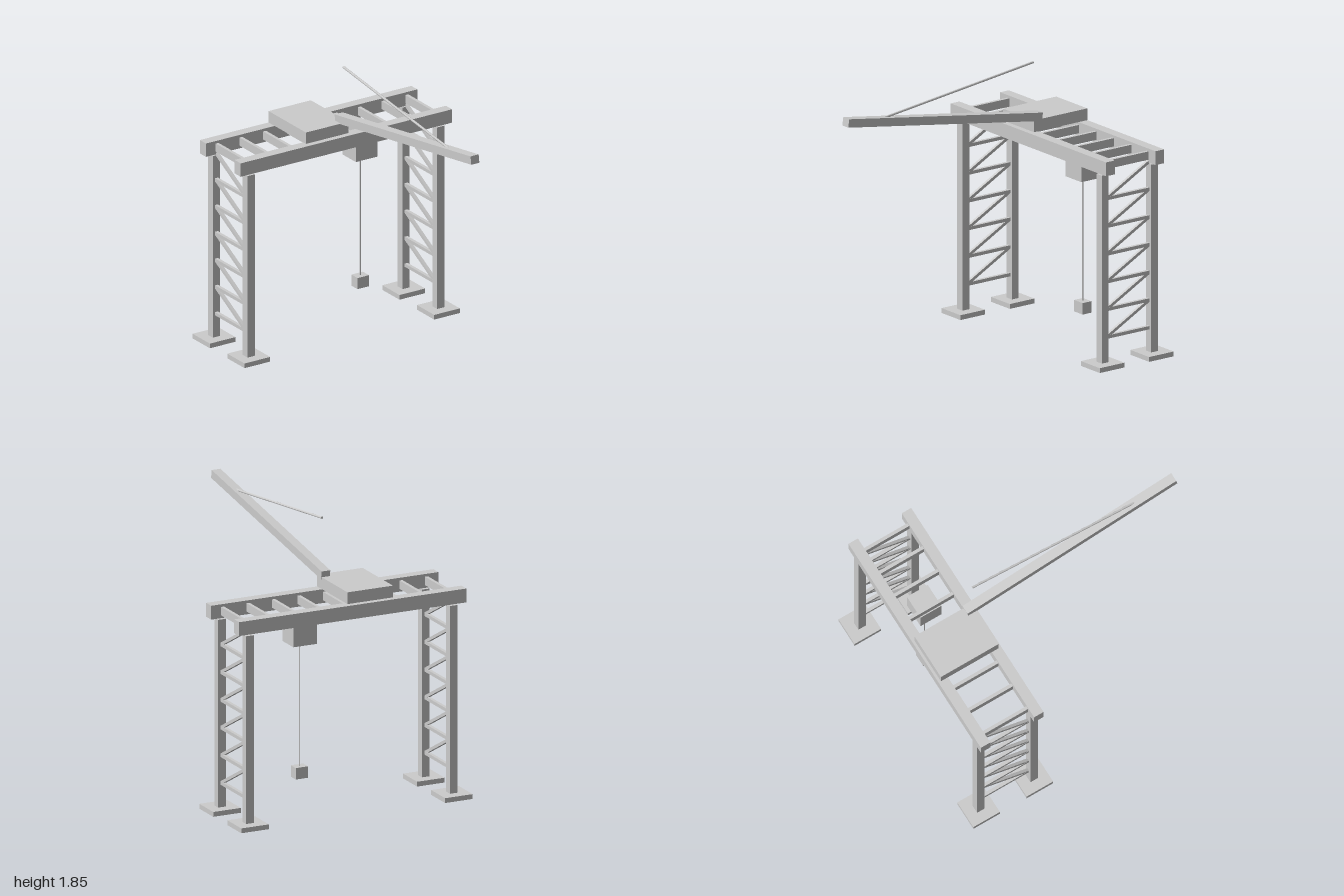
import * as THREE from 'three';

export function createModel() {
  const crane = new THREE.Group();
  crane.name = 'gantryCrane';
  const mat = new THREE.MeshStandardMaterial({ color: 0xcccccc, flatShading: true });

  const add = (name, geo, x, y, z, parent = crane) => {
    const mesh = new THREE.Mesh(geo, mat);
    mesh.name = name;
    mesh.position.set(x, y, z);
    parent.add(mesh);
    return mesh;
  };
  const box = (name, w, h, d, x, y, z, parent) =>
    add(name, new THREE.BoxGeometry(w, h, d), x, y, z, parent);

  // Straight member in the yz plane between two [y, z] points
  const strut = (name, t, x, [y0, z0], [y1, z1], parent) => {
    const m = box(name, t, t, Math.hypot(y1 - y0, z1 - z0), x, (y0 + y1) / 2, (z0 + z1) / 2, parent);
    m.rotation.x = -Math.atan2(y1 - y0, z1 - z0);
    return m;
  };

  // Round rod between two points
  const rod = (name, r, a, b) => {
    const dir = b.clone().sub(a);
    const mid = a.clone().add(b).multiplyScalar(0.5);
    const m = add(name, new THREE.CylinderGeometry(r, r, dir.length(), 8), mid.x, mid.y, mid.z);
    m.quaternion.setFromUnitVectors(new THREE.Vector3(0, 1, 0), dir.normalize());
  };

  const zFront = -0.504, zBack = -0.9, zMid = (zFront + zBack) / 2;

  // Two braced towers
  for (const side of [-1, 1]) {
    const tower = new THREE.Group();
    tower.name = side > 0 ? 'leftTower' : 'rightTower';
    crane.add(tower);
    const x = side * 0.724;
    for (const z of [zFront, zBack]) {
      box('foot', 0.196, 0.032, 0.197, x, 0.016, z, tower);
      box('leg', 0.055, 1.248, 0.055, x, 0.655, z, tower);
    }
    for (let i = 0; i < 6; i++) {
      const y = 0.193 + i * 0.184;
      box('crossBar', 0.022, 0.022, zFront - zBack - 0.04, x, y, zMid, tower);
      strut('diagonalBrace', 0.02, x, [y, zFront - 0.025], [y + 0.184, zBack + 0.025], tower);
    }
  }

  // Bridge: two girders joined by ties
  for (const z of [zFront, zBack]) box('girder', 1.614, 0.092, 0.07, -0.002, 1.336, z);
  for (let i = -4; i <= 4; i++) box('bridgeTie', 0.022, 0.055, zFront - zBack, i * 0.181, 1.337, zMid);

  // Deck, sloping boom and stay rod
  box('deck', 0.323, 0.078, 0.428, -0.134, 1.429, -0.705);
  const boom = box('boom', 0.062, 0.055, 1.572, 0, 1.604, 0.22);
  boom.rotation.x = -Math.atan2(0.246, 1.551);
  rod('stayRod', 0.008, new THREE.Vector3(0, 1.7, 0.7), new THREE.Vector3(0, 1.846, -0.505));

  // Trolley with hanging load
  box('trolley', 0.166, 0.156, 0.155, 0.26, 1.187, -0.705);
  rod('hoistCable', 0.004, new THREE.Vector3(0.26, 0.28, -0.703), new THREE.Vector3(0.26, 1.12, -0.703));
  box('load', 0.088, 0.076, 0.07, 0.26, 0.251, -0.703);

  return crane;
}
